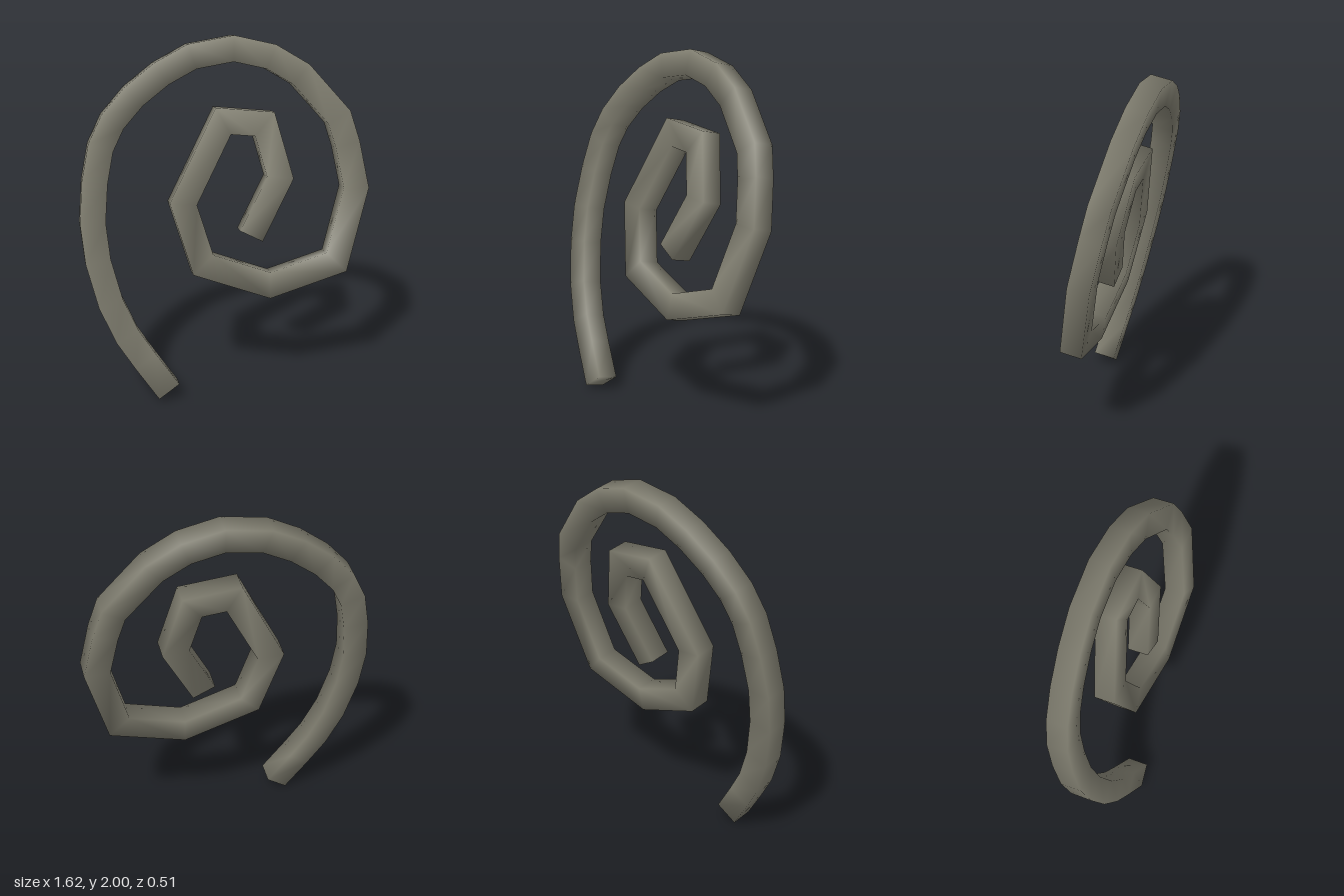
import * as THREE from 'three';

const TILT = 0.194;      // backward lean of the spiral's plane
const HALF_WIDTH = 0.07; // half of the bar, measured in the plane
const HALF_DEPTH = 0.061;

// Centre line of the spiral, from the foot to the inner tip (x, y)
const PATH = [
  [-0.355, 0.057], [-0.48, 0.235], [-0.575, 0.38], [-0.66, 0.57], [-0.72, 0.805],
  [-0.74, 1.015], [-0.72, 1.235], [-0.68, 1.42], [-0.61, 1.555], [-0.49, 1.685],
  [-0.335, 1.8], [-0.165, 1.885], [0.065, 1.92], [0.27, 1.87], [0.435, 1.77],
  [0.645, 1.53], [0.69, 1.38], [0.735, 1.14], [0.615, 0.73], [0.235, 0.62],
  [-0.14, 0.755], [-0.24, 1.095], [-0.005, 1.535], [0.225, 1.51], [0.305, 1.215],
  [0.135, 0.9],
];

// Sweep a rectangular section along a flat path with mitred corners
function sweepBar(points) {
  const positions = [];
  const index = [];
  const last = points.length - 1;
  const direction = (i) => points[i + 1].clone().sub(points[i]).normalize();
  points.forEach((p, i) => {
    const before = direction(Math.max(i - 1, 0));
    const after = direction(Math.min(i, last - 1));
    const tangent = before.clone().add(after).normalize();
    const reach = HALF_WIDTH / tangent.dot(after);
    for (const [s, d] of [[1, 1], [-1, 1], [-1, -1], [1, -1]]) {
      positions.push(p.x - tangent.y * reach * s, p.y + tangent.x * reach * s, d * HALF_DEPTH);
    }
    if (i === last) return;
    for (let k = 0; k < 4; k++) {
      const a = i * 4 + k;
      const b = i * 4 + (k + 1) % 4;
      index.push(a, b, b + 4, a, b + 4, a + 4);
    }
  });
  // End caps
  const e = last * 4;
  index.push(0, 3, 2, 0, 2, 1, e, e + 1, e + 2, e, e + 2, e + 3);
  const geometry = new THREE.BufferGeometry();
  geometry.setAttribute('position', new THREE.Float32BufferAttribute(positions, 3));
  geometry.setIndex(index);
  geometry.computeVertexNormals();
  return geometry;
}

export function createModel() {
  const group = new THREE.Group();
  group.name = 'spiralScroll';
  const metal = new THREE.MeshStandardMaterial({ color: 0x807e70 });
  metal.name = 'greyMetal';

  // Spiral bar, laid out flat about its middle and then leaned back
  const points = PATH.map(([x, y]) => new THREE.Vector2(x, (y - 1) / Math.cos(TILT)));
  const bar = new THREE.Mesh(sweepBar(points), metal);
  bar.name = 'spiralBar';
  bar.rotation.x = -TILT;
  bar.position.y = 1;
  group.add(bar);
  return group;
}
